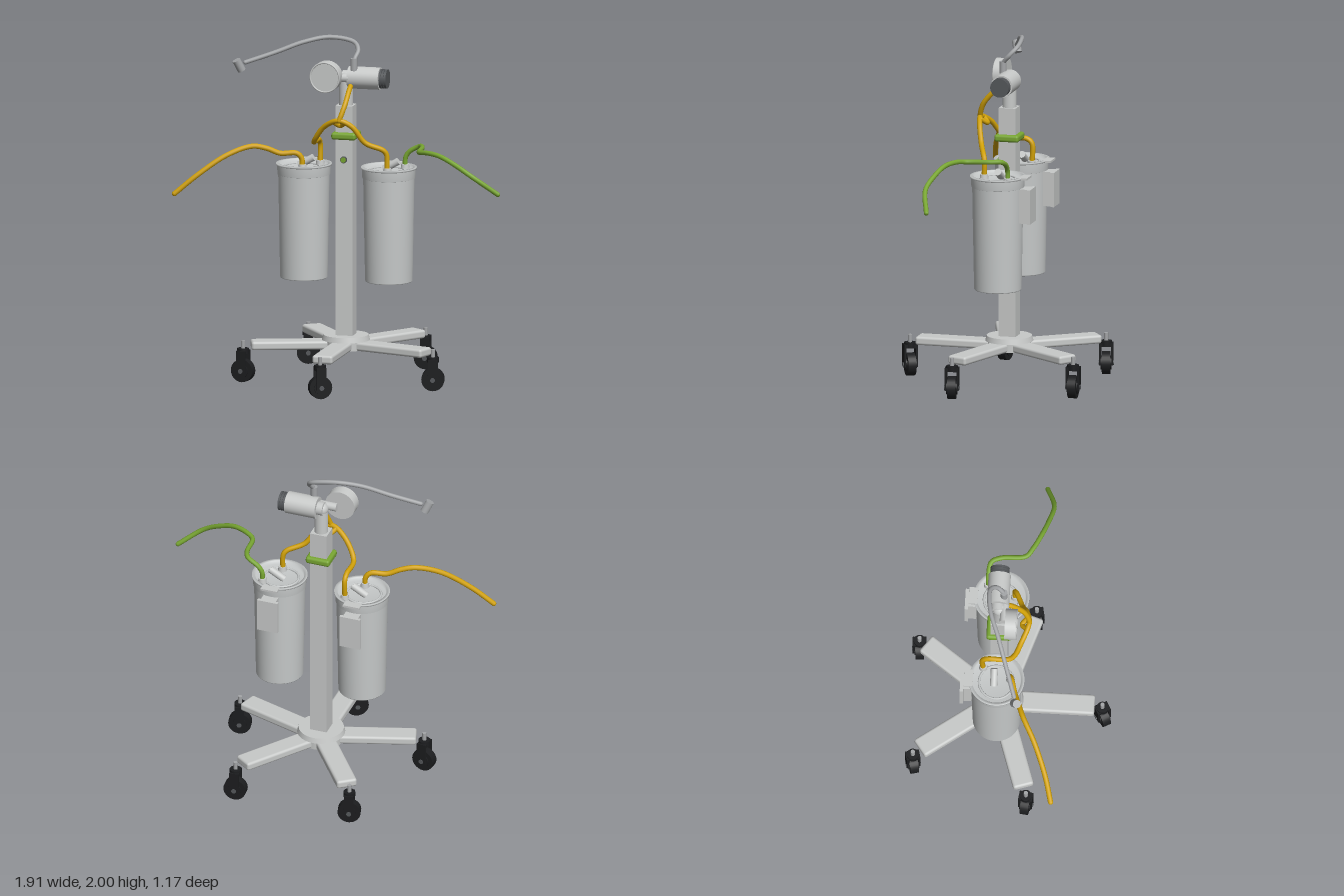
import * as THREE from 'three';
import { RoundedBoxGeometry } from 'three/addons/geometries/RoundedBoxGeometry.js';

const mat = (name, color, side = THREE.FrontSide) => {
  const m = new THREE.MeshStandardMaterial({ color, side });
  m.name = name;
  return m;
};

export function createModel() {
  const shell = mat('light grey', 0xc8cac9);
  const canisterGrey = mat('canister grey', 0xc6c9c9, THREE.DoubleSide);
  const hoseGrey = mat('hose grey', 0xa4a6a8);
  const darkGrey = mat('dark grey', 0x55585b);
  const black = mat('black', 0x1c1d1f);
  const yellow = mat('yellow', 0xd2a208);
  const green = mat('green', 0x78a632);

  const root = new THREE.Group();
  root.name = 'suctionStand';
  const CX = -0.015, CZ = -0.055; // column axis

  const add = (parent, name, geo, material, x = 0, y = 0, z = 0, rx = 0, ry = 0, rz = 0) => {
    const mesh = new THREE.Mesh(geo, material);
    mesh.name = name;
    mesh.position.set(x, y, z);
    mesh.rotation.set(rx, ry, rz);
    parent.add(mesh);
    return mesh;
  };
  const group = (name, x, y, z, ry = 0) => {
    const g = new THREE.Group();
    g.name = name;
    g.position.set(x, y, z);
    g.rotation.y = ry;
    root.add(g);
    return g;
  };
  const cyl = (rt, rb, h, n = 32) => new THREE.CylinderGeometry(rt, rb, h, n);
  const box = (w, h, d) => new THREE.BoxGeometry(w, h, d);
  const lathe = pts => new THREE.LatheGeometry(pts.map(p => new THREE.Vector2(...p)), 48);

  // Hose along a smooth path with closed ends
  const hose = (name, pts, r, material) => {
    const v = pts.map(p => new THREE.Vector3(...p));
    const g = group(name, 0, 0, 0);
    add(g, name + 'Run', new THREE.TubeGeometry(new THREE.CatmullRomCurve3(v), 80, r, 10), material);
    for (const p of [v[0], v[v.length - 1]])
      add(g, name + 'End', new THREE.SphereGeometry(r, 10, 6), material, p.x, p.y, p.z);
  };

  // Base hub, five legs and casters
  add(root, 'baseHub', cyl(0.13, 0.138, 0.03), shell, CX, 0.255, CZ);
  add(root, 'baseHubLower', cyl(0.125, 0.125, 0.055), shell, CX, 0.2175, CZ);
  const swivel = [0.5, 0.2, 0.08, 0.25, -0.15];
  for (let i = 0; i < 5; i++) {
    const a = i * Math.PI * 2 / 5;
    const leg = group('leg', CX, 0, CZ, a);
    add(leg, 'legBeam', new RoundedBoxGeometry(0.12, 0.05, 0.5, 2, 0.015), shell, 0, 0.215, 0.295);

    const c = group('caster', CX + Math.sin(a) * 0.59, 0, CZ + Math.cos(a) * 0.59, swivel[i]);
    add(c, 'casterStem', cyl(0.012, 0.012, 0.08, 12), hoseGrey, 0, 0.2, 0);
    add(c, 'casterSwivel', cyl(0.034, 0.034, 0.03, 20), black, 0, 0.18, 0);
    add(c, 'casterWheel', cyl(0.066, 0.066, 0.048, 28), black, 0, 0.066, 0, Math.PI / 2);
    add(c, 'casterAxle', cyl(0.014, 0.014, 0.088, 14), darkGrey, 0, 0.066, 0, Math.PI / 2);
    for (const s of [-1, 1]) {
      add(c, 'casterFork', box(0.055, 0.13, 0.012), black, 0, 0.118, s * 0.034);
      add(c, 'casterHubCap', cyl(0.04, 0.04, 0.008, 20), black, 0, 0.066, s * 0.027, Math.PI / 2);
    }
    add(c, 'casterBridge', box(0.055, 0.02, 0.078), black, 0, 0.172, 0);
  }

  // Column with collar and lock knob
  add(root, 'column', box(0.1, 1.36, 0.1), shell, CX, 0.925, CZ);
  add(root, 'columnCollar', new RoundedBoxGeometry(0.145, 0.042, 0.145, 2, 0.015), green, CX, 1.43, CZ);
  add(root, 'lockKnobRim', cyl(0.02, 0.02, 0.014, 20), darkGrey, CX, 1.293, CZ + 0.054, Math.PI / 2);
  add(root, 'lockKnob', cyl(0.015, 0.015, 0.02, 20), green, CX, 1.293, CZ + 0.056, Math.PI / 2);
  add(root, 'upperPost', cyl(0.04, 0.04, 0.17), shell, CX, 1.67, CZ);
  add(root, 'postElbow', new THREE.SphereGeometry(0.042, 24, 16), shell, CX, 1.755, CZ);

  // Regulator barrel with ribbed knob
  const barrel = group('regulator', 0, 1.763, -0.065);
  add(barrel, 'regulatorBody', cyl(0.064, 0.064, 0.185), shell, 0.093, 0, 0, 0, 0, -Math.PI / 2);
  add(barrel, 'regulatorNeck', cyl(0.04, 0.04, 0.05), shell, -0.01, 0, 0, 0, 0, -Math.PI / 2);
  for (let i = 0; i < 3; i++)
    add(barrel, 'knobRib', cyl(0.055, 0.055, 0.012), darkGrey, 0.193 + i * 0.015, 0, 0, 0, 0, -Math.PI / 2);
  add(barrel, 'knobCore', cyl(0.049, 0.049, 0.044), darkGrey, 0.207, 0, 0, 0, 0, -Math.PI / 2);

  // Round gauge facing forward
  const gauge = group('gauge', -0.115, 1.775, 0);
  add(gauge, 'gaugeBody', cyl(0.089, 0.089, 0.065, 40), shell, 0, 0, 0.015, Math.PI / 2);
  add(gauge, 'gaugeRim', new THREE.TorusGeometry(0.085, 0.005, 8, 40), shell, 0, 0, 0.047);
  add(gauge, 'gaugeLink', cyl(0.025, 0.025, 0.11, 16), shell, 0.07, -0.01, -0.025, 0, 0, Math.PI / 2);

  // Canisters with lid, spout, port and rear bracket
  for (const x of [-0.265, 0.237]) {
    const c = group('canister', x, 0, -0.058);
    add(c, 'canisterBody', lathe([[0, 0.59], [0.133, 0.59], [0.136, 0.595], [0.147, 1.19]]), canisterGrey);
    add(c, 'canisterCollar', lathe([[0.147, 1.19], [0.152, 1.192], [0.153, 1.245]]), canisterGrey);
    add(c, 'canisterRim', lathe([[0.152, 1.243], [0.16, 1.245], [0.16, 1.255], [0.142, 1.255], [0.138, 1.232], [0, 1.232]]), canisterGrey);
    add(c, 'lidRing', new THREE.TorusGeometry(0.1, 0.007, 8, 40), canisterGrey, -0.01, 1.234, 0, Math.PI / 2);
    add(c, 'lidSpout', cyl(0.021, 0.021, 0.1, 18), shell, 0.01, 1.262, -0.015, 0, 0, -1.05);
    add(c, 'lidPort', cyl(0.022, 0.026, 0.03, 18), shell, 0.012, 1.245, 0.078);
    add(c, 'lidPort', cyl(0.022, 0.026, 0.03, 18), shell, 0.076, 1.245, -0.08);
    add(c, 'lidTab', box(0.1, 0.012, 0.05), shell, 0, 1.25, -0.16);
    add(c, 'bracketBlock', box(0.09, 0.2, 0.05), shell, 0, 1.09, -0.165);
    add(c, 'bracketPlate', box(0.125, 0.2, 0.02), shell, 0, 1.09, -0.198);
  }

  // Hoses
  hose('armHose', [[0.04, 1.80, -0.03], [0.04, 1.87, -0.035], [0.052, 1.92, -0.075], [0.02, 1.96, -0.11],
    [-0.12, 1.985, -0.1], [-0.26, 1.96, -0.05], [-0.42, 1.9, 0.005], [-0.58, 1.845, 0.06]], 0.013, hoseGrey);
  add(root, 'hoseFerrule', cyl(0.02, 0.02, 0.07, 16), hoseGrey, 0.037, 1.845, -0.032);
  add(root, 'armNozzle', cyl(0.024, 0.024, 0.07, 16), hoseGrey, -0.615, 1.828, 0.07, 0.3, 0, 0.4);

  hose('patientHose', [[-0.255, 1.24, 0.02], [-0.258, 1.295, 0.02], [-0.285, 1.325, 0.03], [-0.375, 1.325, 0.055],
    [-0.45, 1.355, 0.08], [-0.53, 1.368, 0.11], [-0.66, 1.322, 0.18], [-0.815, 1.212, 0.25], [-0.94, 1.105, 0.29]], 0.015, yellow);
  hose('bridgeHose', [[-0.19, 1.24, -0.14], [-0.19, 1.36, -0.14], [-0.19, 1.385, -0.11], [-0.185, 1.395, 0.02],
    [-0.11, 1.495, 0.08], [-0.015, 1.54, 0.115], [0.06, 1.505, 0.1], [0.13, 1.41, 0.07],
    [0.225, 1.365, 0.03], [0.243, 1.34, 0.02], [0.247, 1.24, 0.02]], 0.015, yellow);
  hose('supplyHose', [[0.022, 1.73, -0.03], [0.022, 1.7, 0.02], [0.015, 1.63, 0.085], [0, 1.575, 0.11], [-0.012, 1.54, 0.118]], 0.015, yellow);
  hose('hoseJoint', [[-0.05, 1.53, 0.105], [-0.015, 1.505, 0.075], [0.02, 1.53, 0.105]], 0.014, yellow);
  hose('drainHose', [[0.313, 1.24, -0.138], [0.316, 1.3, -0.138], [0.34, 1.335, -0.138], [0.405, 1.37, -0.125],
    [0.432, 1.372, -0.07], [0.45, 1.37, 0.07], [0.5, 1.377, 0.11], [0.59, 1.37, 0.155], [0.69, 1.33, 0.19],
    [0.8, 1.268, 0.213], [0.94, 1.165, 0.168]], 0.014, green);

  return root;
}
